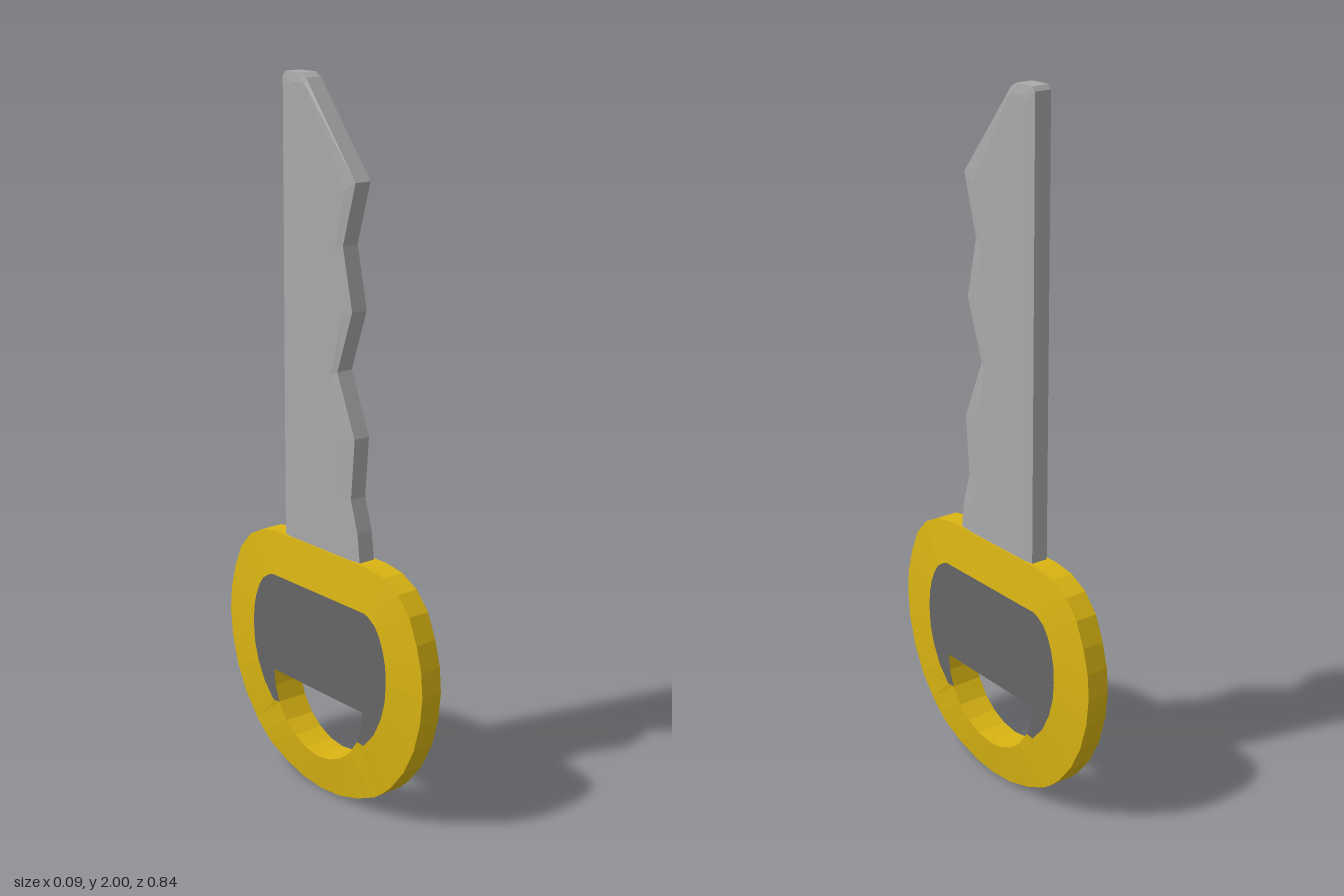
import * as THREE from 'three';

const yellow = new THREE.MeshStandardMaterial({ color: 0xdab512 });
yellow.name = 'yellow plastic';
const steel = new THREE.MeshStandardMaterial({ color: 0xaaaaaa });
steel.name = 'steel';
const darkGrey = new THREE.MeshStandardMaterial({ color: 0x666666 });
darkGrey.name = 'dark grey inlay';

// Outlines are lists of [z, y], counter-clockwise as seen from +x.
const mirror = half => half.concat(half.filter(p => p[0] > 0).reverse().map(([z, y]) => [-z, y]));

// Faceted skin through matching closed outlines; sections are [outline, x].
function loft(sections) {
  const pos = [];
  for (let s = 0; s + 1 < sections.length; s++) {
    const [a, xa] = sections[s], [b, xb] = sections[s + 1];
    for (let i = 0; i < a.length; i++) {
      const j = (i + 1) % a.length;
      const v = (p, x) => [x, p[1], p[0]];
      const [a0, a1, b0, b1] = [v(a[i], xa), v(a[j], xa), v(b[i], xb), v(b[j], xb)];
      pos.push(...a0, ...a1, ...b1, ...a0, ...b1, ...b0);
    }
  }
  const g = new THREE.BufferGeometry();
  g.setAttribute('position', new THREE.Float32BufferAttribute(pos, 3));
  g.computeVertexNormals();
  return g;
}

// Flat face filling an outline at x, facing away from the middle.
function cap(outline, x) {
  const s = Math.sign(x);
  const shape = new THREE.Shape(outline.map(([z, y]) => new THREE.Vector2(-s * z, y)));
  return new THREE.ShapeGeometry(shape).rotateY(s * Math.PI / 2).translate(x, 0, 0);
}

function add(group, name, geometry, material) {
  const mesh = new THREE.Mesh(geometry, material);
  mesh.name = name;
  group.add(mesh);
}

export function createModel() {
  const key = new THREE.Group();
  key.name = 'key';

  // Bow: the rim slopes from the thin outer edge up to the inlay and the hole
  const outer = [[0.2, 0.72], [0.262, 0.71], [0.32, 0.68], [0.365, 0.63], [0.395, 0.56], [0.414, 0.49],
    [0.42, 0.42], [0.412, 0.34], [0.388, 0.255], [0.35, 0.18], [0.298, 0.115], [0.265, 0.085],
    [0.23, 0.06], [0.16, 0.029], [0.08, 0.007], [0, 0]];
  const inner = [[0.2, 0.595], [0.215, 0.59], [0.243, 0.572], [0.262, 0.545], [0.277, 0.51], [0.287, 0.47],
    [0.29, 0.42], [0.286, 0.365], [0.27, 0.31], [0.242, 0.255], [0.2, 0.208], [0.173, 0.21],
    [0.14, 0.164], [0.1, 0.133], [0.052, 0.112], [0, 0.105]];
  const rim = mirror(outer), inset = mirror(inner);
  const bow = new THREE.Group();
  bow.name = 'bow';
  key.add(bow);
  add(bow, 'rim', loft([[inset, -0.047], [rim, -0.033], [rim, 0.033], [inset, 0.047]]), yellow);

  // Hole for the key ring
  const hole = mirror([[0.195, 0.305], [0.19, 0.258], ...inner.slice(11)]);
  add(bow, 'holeWall', loft([[hole, 0.047], [hole, -0.047]]), yellow);

  // Dark inlay on both faces, with arms reaching down beside the hole
  const inlay = mirror([...inner.slice(0, 12), [0.19, 0.258], [0.195, 0.305]]);
  add(bow, 'leftInlay', cap(inlay, 0.047), darkGrey);
  add(bow, 'rightInlay', cap(inlay, -0.047), darkGrey);

  // Blade: toothed front edge, straight back, faces slightly raised
  const edge = [[-0.165, 1.988], [-0.155, 2], [-0.09, 2], [-0.068, 1.988], [0.132, 1.738], [0.082, 1.57],
    [0.12, 1.4], [0.06, 1.23], [0.132, 1.06], [0.118, 0.89], [0.145, 0.8], [0.155, 0.72],
    [0.155, 0.67], [-0.165, 0.67]];
  const raised = edge.map(([z, y]) => [-0.03 + (z + 0.03) * 0.75, 0.67 + (y - 0.67) * 0.98]);
  const blade = new THREE.Group();
  blade.name = 'blade';
  key.add(blade);
  add(blade, 'bladeEdge', loft([[raised, -0.029], [edge, -0.025], [edge, 0.025], [raised, 0.029]]), steel);
  add(blade, 'leftBladeFace', cap(raised, 0.029), steel);
  add(blade, 'rightBladeFace', cap(raised, -0.029), steel);

  return key;
}
